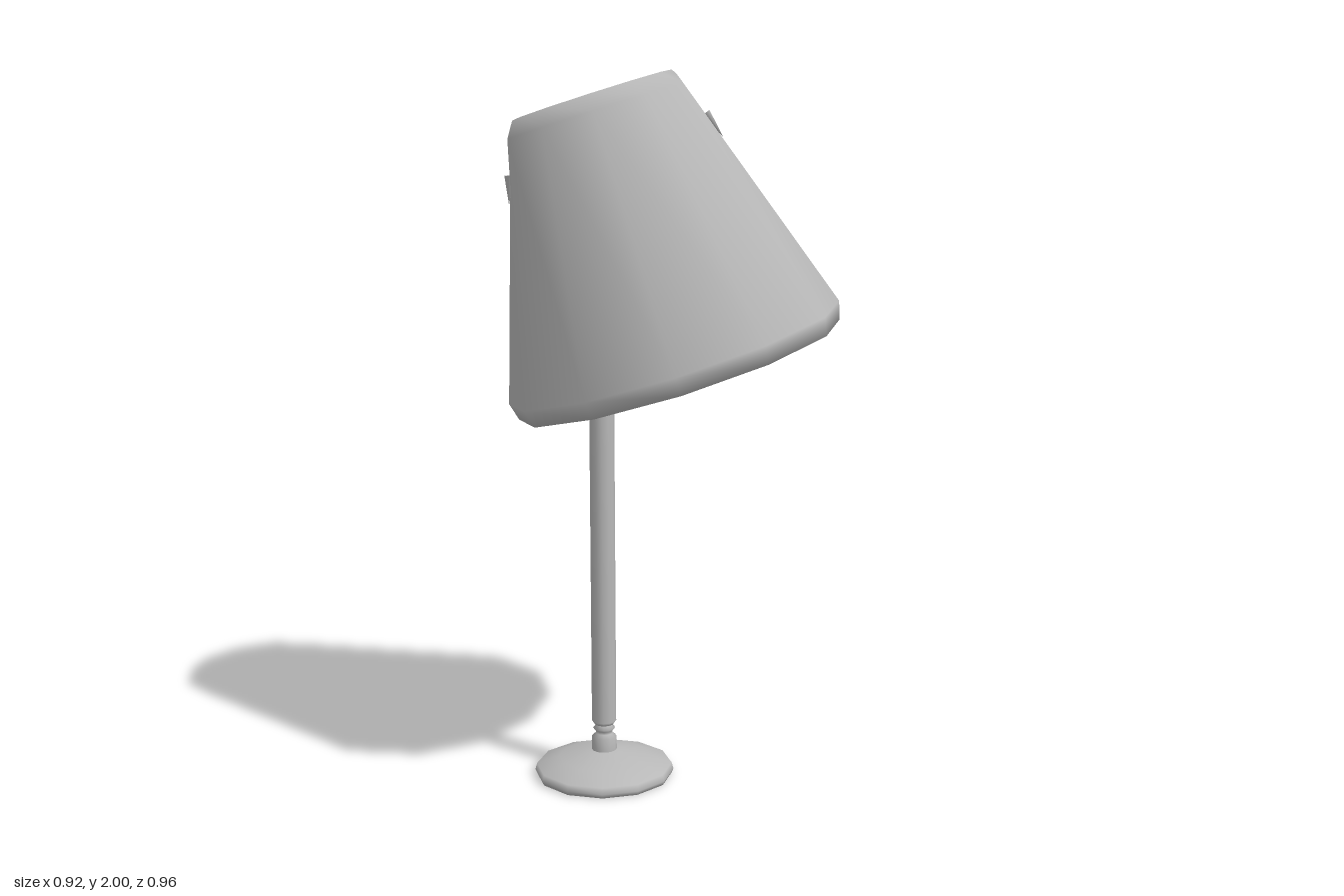
import * as THREE from 'three';
import { mergeVertices } from 'three/addons/utils/BufferGeometryUtils.js';

const grey = new THREE.MeshStandardMaterial({ color: 0xb8b8b8 });
grey.name = 'lamp grey';

function part(name, geometry, parent) {
  const mesh = new THREE.Mesh(geometry, grey);
  mesh.name = name;
  parent.add(mesh);
  return mesh;
}

const lathe = (points, sides) =>
  new THREE.LatheGeometry(points.map(([r, y]) => new THREE.Vector2(r, y)), sides);

// Thick-walled 12-sided shade whose shoulder is pinched in at its two x sides
function shadeGeometry() {
  const geo = lathe([
    [0.43, 0.01], [0.467, 0], [0.48, 0.05], [0.28, 0.74], [0.226, 0.785],
    [0.2, 0.785], [0.178, 0.74], [0.185, 0.68], [0.42, 0.07], [0.43, 0.01],
  ], 12);
  const p = geo.attributes.position;
  for (let i = 0; i < p.count; i++) {
    if (Math.abs(Math.abs(p.getX(i)) - 0.28) < 0.001) {
      p.setXYZ(i, Math.sign(p.getX(i)) * 0.235, 0.772, 0);
    }
  }
  geo.deleteAttribute('uv');
  geo.deleteAttribute('normal');
  const merged = mergeVertices(geo, 0.0001);
  merged.computeVertexNormals();
  return merged;
}

export function createModel() {
  const model = new THREE.Group();
  model.name = 'tableLamp';

  // Foot with a shallow dome
  part('base', lathe([
    [0, 0], [0.195, 0], [0.2, 0.012], [0.195, 0.03], [0.13, 0.053], [0.05, 0.073], [0, 0.076],
  ], 12), model);

  // Turned neck
  part('neck', lathe([
    [0.036, 0.07], [0.036, 0.112], [0.024, 0.122], [0.024, 0.13], [0.032, 0.138], [0.024, 0.146], [0.024, 0.156],
  ], 12), model).position.x = -0.2;
  model.children[0].position.x = -0.2;

  // Pole with a domed top
  part('pole', lathe([
    [0, 0.15], [0.028, 0.15], [0.035, 0.16], [0.035, 1.87], [0.03, 1.888], [0.017, 1.9], [0, 1.905],
  ], 12), model).position.x = -0.2;

  // Tilted shade
  const tilt = 0.305;
  const shade = new THREE.Group();
  shade.name = 'shadeGroup';
  shade.position.set(0.015, 1.18, 0);
  shade.rotation.z = tilt;
  model.add(shade);
  part('shade', shadeGeometry(), shade);

  // Small wedge on each pinched side
  for (const angle of [0, Math.PI]) {
    const side = new THREE.Group();
    side.name = 'wedgeMount';
    side.rotation.y = angle;
    const wedge = part('wedge', new THREE.ConeGeometry(0.035, 0.08, 6).rotateX(Math.PI), side);
    wedge.scale.x = 0.4;
    wedge.rotation.z = 0.33;
    wedge.position.set(0.293, 0.61, 0);
    shade.add(side);
  }

  // Three arms joining the pole to the shade
  const spider = new THREE.Group();
  spider.name = 'spider';
  spider.position.set(-0.2, 1.85, 0);
  spider.rotation.z = tilt;
  for (let i = 0; i < 3; i++) {
    const arm = part('arm', new THREE.CylinderGeometry(0.013, 0.013, 0.19, 8)
      .rotateX(Math.PI / 2).translate(0, 0, -0.095), spider);
    arm.rotation.y = (i * Math.PI * 2) / 3;
  }
  model.add(spider);

  return model;
}
